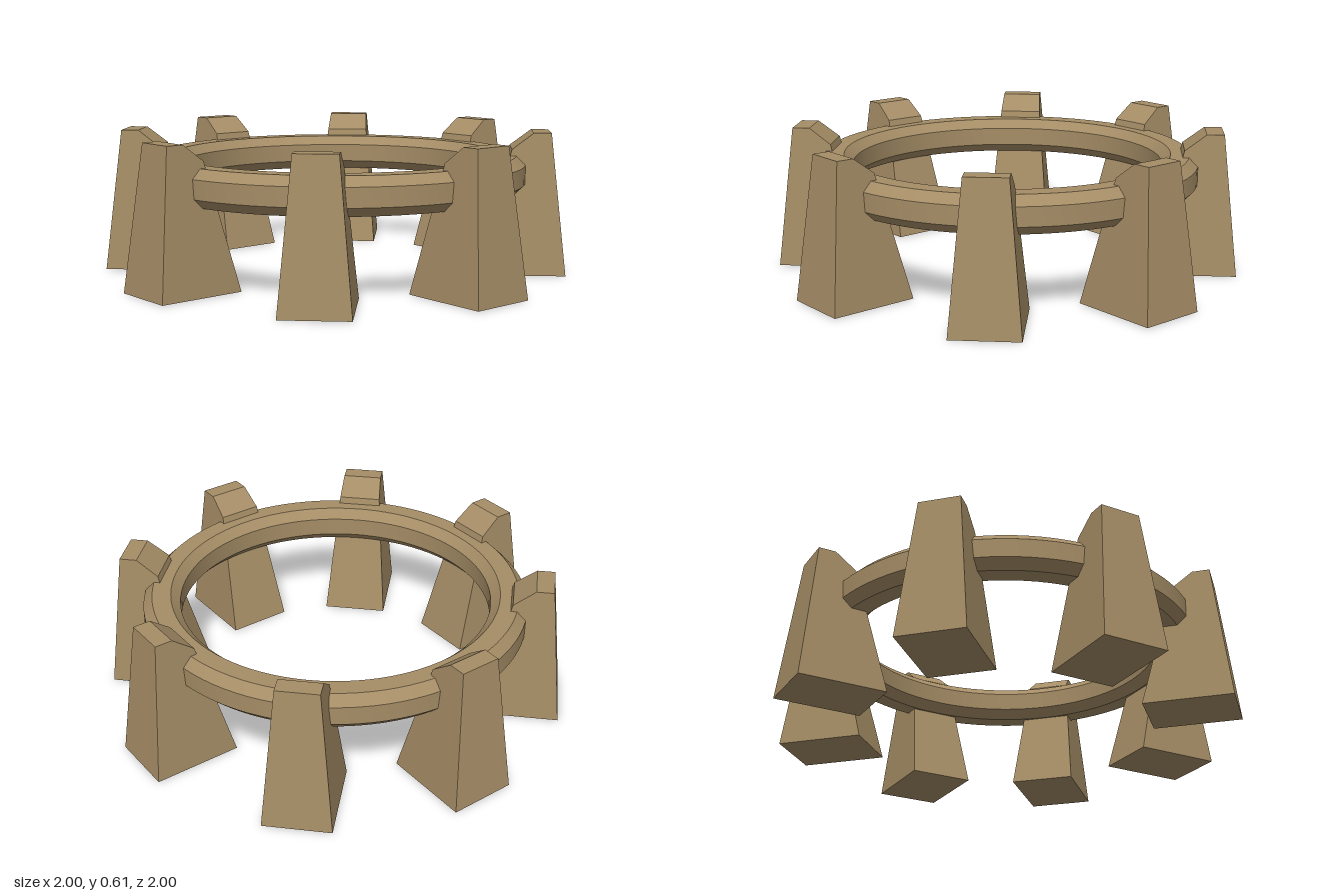
import * as THREE from 'three';
import { toCreasedNormals } from 'three/addons/utils/BufferGeometryUtils.js';

const PIERS = 8, HEIGHT = 0.61;

// Tapered pier: radial profile (radius, height), narrowing sideways towards the top
function pierGeometry() {
  const profile = [[0.622, 0], [1, 0], [0.932, HEIGHT], [0.857, HEIGHT], [0.765, 0.54]];
  const shape = new THREE.Shape(profile.map(([r, y]) => new THREE.Vector2(r, y)));
  const geo = new THREE.ExtrudeGeometry(shape, { depth: 2, bevelEnabled: false });
  geo.translate(0, 0, -1);
  const pos = geo.attributes.position;
  for (let i = 0; i < pos.count; i++) {
    const halfWidth = THREE.MathUtils.lerp(0.142, 0.088, pos.getY(i) / HEIGHT);
    pos.setZ(i, pos.getZ(i) * halfWidth);
  }
  geo.computeVertexNormals();
  return geo;
}

// Ring with a chamfered square section
function ringGeometry() {
  const r = 0.75, y = 0.432, h = 0.079, c = 0.04;
  const section = [
    [c, -h], [h, -c], [h, c], [c, h], [-c, h], [-h, c], [-h, -c], [-c, -h], [c, -h],
  ].map(([dr, dy]) => new THREE.Vector2(r + dr, y + dy));
  return toCreasedNormals(new THREE.LatheGeometry(section, 96), 0.5);
}

export function createModel() {
  const stone = new THREE.MeshStandardMaterial({ color: 0xa58d66 });
  stone.name = 'sandstone';

  const model = new THREE.Group();
  model.name = 'stoneRing';

  const ring = new THREE.Mesh(ringGeometry(), stone);
  ring.name = 'ring';
  model.add(ring);

  // Piers evenly spaced around the ring
  const geo = pierGeometry();
  for (let i = 0; i < PIERS; i++) {
    const pier = new THREE.Mesh(geo, stone);
    pier.name = `pier${i + 1}`;
    pier.rotation.y = (i / PIERS) * Math.PI * 2;
    model.add(pier);
  }
  return model;
}
